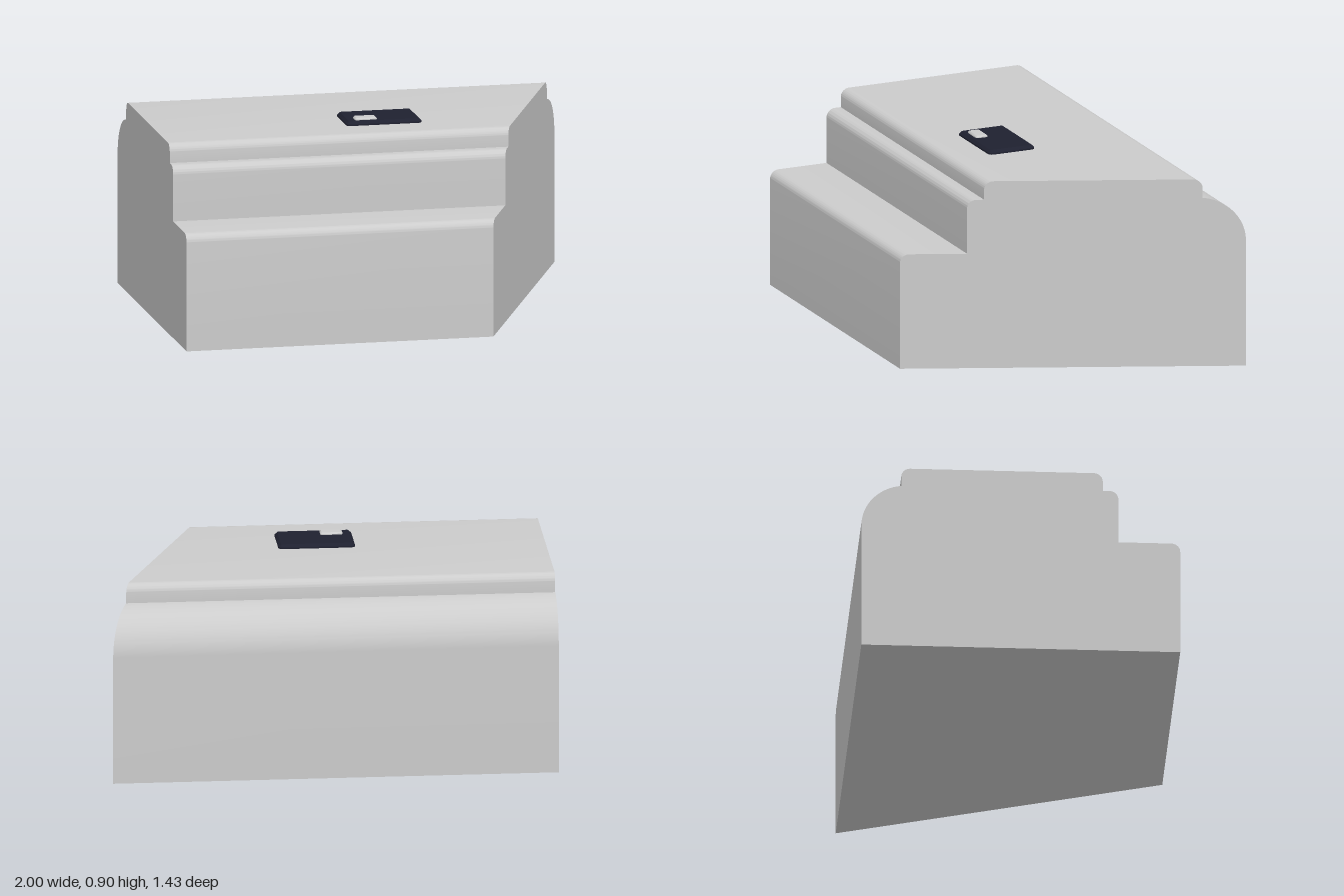
import * as THREE from 'three';
import { toCreasedNormals } from 'three/addons/utils/BufferGeometryUtils.js';

const grey = new THREE.MeshStandardMaterial({ color: 0xcccccc });
const dark = new THREE.MeshStandardMaterial({ color: 0x1f2130 });

// Stepped side profile, drawn with shape x = -z
function bodyProfile() {
  const s = new THREE.Shape();
  const r = 0.04, q = Math.PI / 2;
  s.moveTo(-0.714, 0);
  s.lineTo(0.714, 0);
  s.lineTo(0.714, 0.588);
  s.absarc(0.514, 0.588, 0.2, 0, 1.466, false);   // broad rear shoulder
  s.lineTo(0.535, 0.873 - r);
  s.absarc(0.535 - r, 0.873 - r, r, 0, q, false); // top rear edge
  s.absarc(-0.367 + r, 0.873 - r, r, q, 2 * q, false); // top front edge
  s.lineTo(-0.367, 0.787);
  s.absarc(-0.437 + r, 0.787 - r, r, q, 2 * q, false); // middle step
  s.lineTo(-0.437, 0.535);
  s.absarc(-0.714 + r, 0.535 - r, r, q, 2 * q, false); // low front ledge
  s.closePath();
  return s;
}

// Extrude along x, then slide the +x end onto its slanted cut
function bodyGeometry() {
  const geo = new THREE.ExtrudeGeometry(bodyProfile(), { depth: 1, bevelEnabled: false, curveSegments: 16 });
  geo.rotateY(Math.PI / 2);
  const p = geo.attributes.position;
  for (let i = 0; i < p.count; i++) {
    const end = 0.7025 - (0.595 / 1.428) * p.getZ(i);
    p.setX(i, -1 + p.getX(i) * (end + 1));
  }
  return toCreasedNormals(geo, 0.4);
}

// Flat plate with rounded corners and a chamfered rim
function plate(name, x0, x1, z0, z1, bottom, top, corner, chamfer, material) {
  const w = (x1 - x0) / 2 - chamfer, d = (z1 - z0) / 2 - chamfer, q = Math.PI / 2;
  const s = new THREE.Shape();
  [[1, 1], [-1, 1], [-1, -1], [1, -1]].forEach(([a, b], i) =>
    s.absarc(a * (w - corner), b * (d - corner), corner, i * q, (i + 1) * q, false));
  s.closePath();
  const geo = new THREE.ExtrudeGeometry(s, {
    depth: top - bottom - 2 * chamfer, bevelThickness: chamfer, bevelSize: chamfer,
    bevelSegments: 1, curveSegments: 4,
  });
  geo.rotateX(-q);
  geo.translate((x0 + x1) / 2, bottom + chamfer, (z0 + z1) / 2);
  const mesh = new THREE.Mesh(toCreasedNormals(geo, 0.5), material);
  mesh.name = name;
  return mesh;
}

export function createModel() {
  const model = new THREE.Group();
  model.name = 'steppedBlock';
  const body = new THREE.Mesh(bodyGeometry(), grey);
  body.name = 'body';
  model.add(body);
  model.add(plate('topPanel', -0.147, 0.197, -0.045, 0.18, 0.855, 0.892, 0.008, 0.012, dark));
  model.add(plate('panelButton', -0.103, -0.003, 0.096, 0.154, 0.875, 0.902, 0.004, 0.006, grey));
  return model;
}
